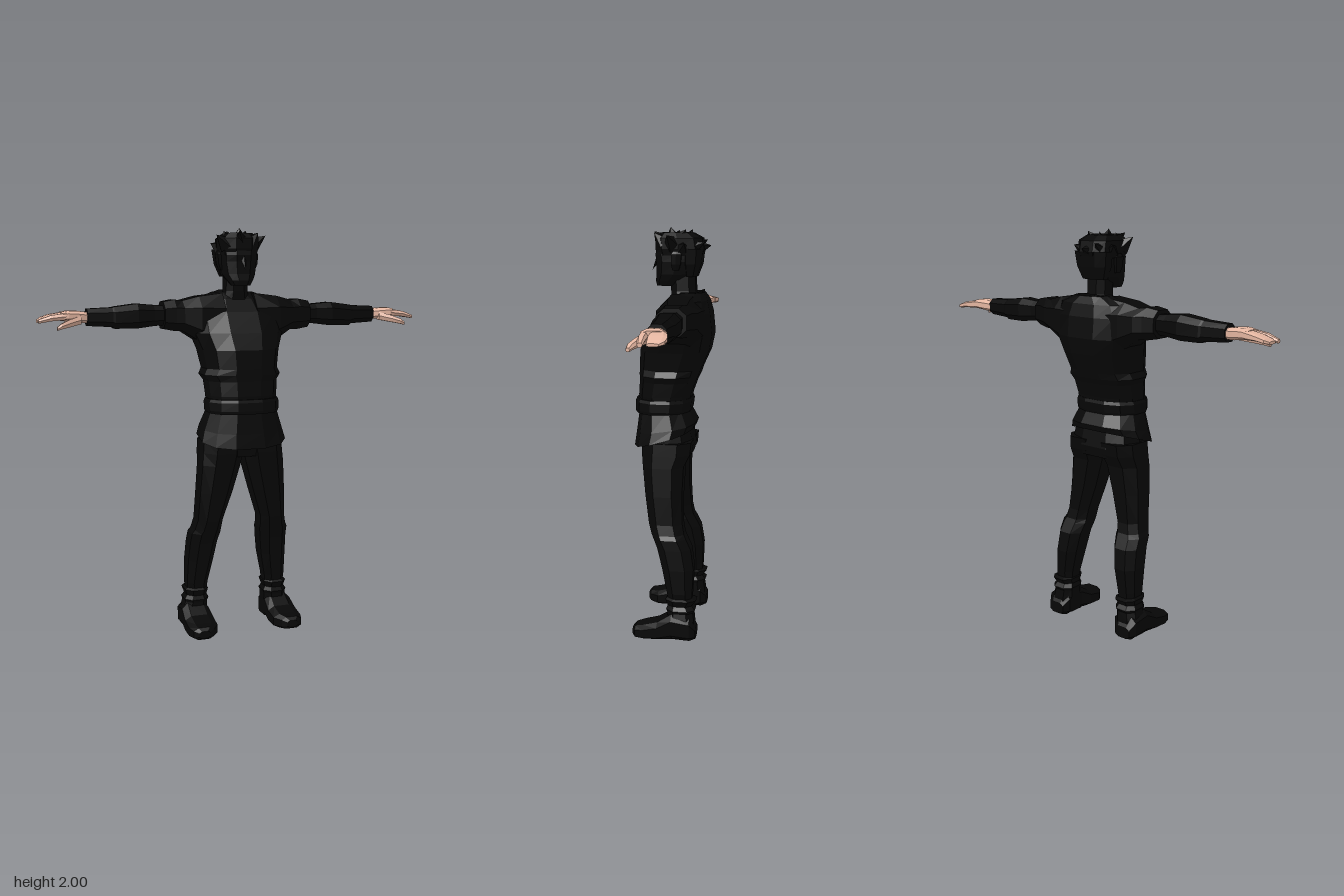
import * as THREE from 'three';

const AXES = { x: [0, 1, 2], y: [1, 2, 0], z: [2, 0, 1] };

// Flat-faced loft along an axis. Ring: [t, a0, a1, b0, b1, slope], where (a, b) are the
// next two axes in cyclic order and slope tilts the ring along a.
function loft(axis, rings, sides = 10, power = 0.8) {
  const [it, ia, ib] = AXES[axis], pos = [], idx = [];
  const put = (t, a, b) => { const p = []; p[it] = t; p[ia] = a; p[ib] = b; pos.push(...p); };
  const bend = (v) => Math.sign(v) * Math.abs(v) ** power;
  for (const [t, a0, a1, b0, b1, slope = 0] of rings) {
    for (let i = 0; i < sides; i++) {
      const q = ((i + 0.5) / sides) * Math.PI * 2;
      const k = Math.cos(Math.PI / sides);
      const da = bend(Math.min(1, Math.max(-1, Math.cos(q) / k))) * (a1 - a0) / 2;
      const db = bend(Math.min(1, Math.max(-1, Math.sin(q) / (sides % 4 ? 1 : k)))) * (b1 - b0) / 2;
      put(t + slope * da, (a0 + a1) / 2 + da, (b0 + b1) / 2 + db);
    }
  }
  const n = rings.length, first = rings[0], last = rings[n - 1];
  put(first[0], (first[1] + first[2]) / 2, (first[3] + first[4]) / 2);
  put(last[0], (last[1] + last[2]) / 2, (last[3] + last[4]) / 2);
  for (let i = 0; i < sides; i++) {
    const j = (i + 1) % sides, top = (n - 1) * sides;
    for (let r = 0; r < n - 1; r++) {
      const a = r * sides + i, b = r * sides + j;
      idx.push(a, b, b + sides, a, b + sides, a + sides);
    }
    idx.push(n * sides, j, i, n * sides + 1, top + i, top + j);
  }
  const g = new THREE.BufferGeometry();
  g.setAttribute('position', new THREE.Float32BufferAttribute(pos, 3));
  g.setIndex(idx);
  return flat(g);
}

function flat(g) {
  const f = g.index ? g.toNonIndexed() : g;
  f.computeVertexNormals();
  return f;
}

// Mirror across x = 0, keeping faces outward
function mirror(g) {
  const m = g.clone(), p = m.attributes.position;
  for (let i = 0; i < p.count; i += 3) {
    const v = [0, 2, 1].map((k) => new THREE.Vector3().fromBufferAttribute(g.attributes.position, i + k));
    v.forEach((w, k) => p.setXYZ(i + k, -w.x, w.y, w.z));
  }
  m.computeVertexNormals();
  return m;
}

// Cone from a base point to a tip
function spike(base, tip, radius, sides = 5) {
  const a = new THREE.Vector3(...base), d = new THREE.Vector3(...tip).sub(a), len = d.length();
  const g = new THREE.ConeGeometry(radius, len, sides).translate(0, len / 2, 0);
  g.applyQuaternion(new THREE.Quaternion().setFromUnitVectors(new THREE.Vector3(0, 1, 0), d.normalize()));
  return flat(g.translate(...base));
}

export function createModel() {
  const black = new THREE.MeshStandardMaterial({ color: 0x070707 });
  black.name = 'black cloth';
  const skin = new THREE.MeshStandardMaterial({ color: 0xe3b5a0 });
  skin.name = 'skin';
  const model = new THREE.Group();
  model.name = 'figure';
  const add = (name, geometry, material = black) => {
    const m = new THREE.Mesh(geometry, material);
    m.name = name;
    model.add(m);
  };
  const pair = (name, geometry, material) => {
    add(name + 'Left', geometry, material);
    add(name + 'Right', mirror(geometry), material);
  };

  // Tunic body, leaning back towards the shoulders
  add('tunic', loft('y', [
    [1.12, -0.075, 0.165, -0.165, 0.165],
    [1.2, -0.085, 0.17, -0.17, 0.17],
    [1.27, -0.11, 0.165, -0.175, 0.175],
    [1.3, -0.125, 0.165, -0.195, 0.195],
    [1.33, -0.135, 0.165, -0.18, 0.18],
    [1.42, -0.175, 0.16, -0.195, 0.195],
    [1.5, -0.19, 0.125, -0.225, 0.225],
    [1.6, -0.18, 0.065, -0.225, 0.225],
    [1.66, -0.165, 0.01, -0.19, 0.19],
    [1.695, -0.145, -0.03, -0.1, 0.1],
  ], 12));
  // Flared skirt, hem lower at the front
  add('tunicSkirt', loft('y', [
    [0.99, -0.1, 0.19, -0.215, 0.215, -0.3],
    [1.04, -0.11, 0.18, -0.2, 0.2, -0.15],
    [1.14, -0.07, 0.165, -0.165, 0.165],
  ], 12));
  add('belt', loft('y', [
    [1.115, -0.08, 0.185, -0.172, 0.172],
    [1.13, -0.085, 0.187, -0.178, 0.178],
    [1.17, -0.09, 0.185, -0.178, 0.178],
    [1.185, -0.085, 0.18, -0.172, 0.172],
  ], 12));
  add('collar', loft('y', [
    [1.6, -0.13, 0.05, -0.1, 0.1, -0.4],
    [1.68, -0.14, 0.01, -0.1, 0.1, -0.35],
  ], 8));

  // Arms
  pair('sleeve', loft('x', [
    [0.08, 1.4, 1.69, -0.165, 0.06],
    [0.2, 1.46, 1.675, -0.155, 0.06],
    [0.28, 1.51, 1.655, -0.145, 0.04],
    [0.32, 1.51, 1.66, -0.125, 0.035],
    [0.375, 1.52, 1.65, -0.11, 0.03],
  ], 8));
  pair('arm', loft('x', [
    [0.35, 1.54, 1.63, -0.09, 0.01],
    [0.42, 1.535, 1.635, -0.095, 0.01],
    [0.5, 1.525, 1.642, -0.105, 0.02],
    [0.61, 1.525, 1.628, -0.095, 0.012],
    [0.62, 1.533, 1.625, -0.09, 0.01],
    [0.74, 1.54, 1.62, -0.08, 0.002],
  ], 8));

  // Hands
  pair('palm', loft('x', [
    [0.73, 1.553, 1.603, -0.07, -0.012],
    [0.78, 1.555, 1.61, -0.085, 0.008],
    [0.83, 1.562, 1.612, -0.095, 0.015],
    [0.86, 1.565, 1.606, -0.1, 0.008],
  ], 8), skin);
  pair('fingers', loft('x', [
    [0.85, 1.566, 1.605, -0.1, -0.03],
    [0.91, 1.567, 1.595, -0.112, -0.032],
    [0.95, 1.56, 1.582, -0.107, -0.035],
    [0.967, 1.557, 1.57, -0.085, -0.036],
  ], 8, 0.6), skin);
  pair('indexFinger', loft('x', [
    [0.84, 1.57, 1.602, -0.025, 0.015],
    [0.91, 1.565, 1.592, -0.024, 0.012],
    [0.967, 1.555, 1.572, -0.022, 0.002],
  ], 6), skin);
  pair('thumb', loft('x', [
    [0.77, 1.55, 1.59, -0.03, 0.015],
    [0.83, 1.538, 1.572, 0.008, 0.045],
    [0.87, 1.53, 1.555, 0.03, 0.064],
    [0.89, 1.524, 1.54, 0.045, 0.063],
  ], 6), skin);

  // Trousers
  add('trouserHips', loft('y', [
    [0.9, -0.09, 0.13, -0.19, 0.19],
    [0.95, -0.1, 0.14, -0.2, 0.2],
    [1.06, -0.08, 0.15, -0.18, 0.18],
  ], 10));
  pair('trouserLeg', loft('y', [
    [0.18, -0.115, -0.005, 0.16, 0.255],
    [0.24, -0.12, 0.005, 0.155, 0.262],
    [0.36, -0.125, 0.03, 0.13, 0.26],
    [0.46, -0.11, 0.055, 0.115, 0.255],
    [0.51, -0.085, 0.075, 0.105, 0.252],
    [0.53, -0.075, 0.085, 0.105, 0.24],
    [0.58, -0.065, 0.1, 0.1, 0.228],
    [0.72, -0.06, 0.12, 0.055, 0.22],
    [0.86, -0.065, 0.135, 0.015, 0.21],
    [0.92, -0.095, 0.14, 0.002, 0.205],
    [0.98, -0.1, 0.14, 0, 0.2],
  ], 8));

  // Boots with creased shafts
  pair('bootShaft', loft('y', [
    [0.02, -0.135, 0.01, 0.155, 0.285],
    [0.1, -0.13, 0.0, 0.155, 0.28],
    [0.14, -0.125, 0.0, 0.155, 0.27],
    [0.155, -0.135, 0.008, 0.15, 0.275],
    [0.175, -0.118, 0.0, 0.16, 0.262],
    [0.205, -0.14, 0.012, 0.152, 0.272],
    [0.215, -0.11, 0.0, 0.165, 0.255],
  ], 8));
  pair('bootFoot', loft('z', [
    [-0.14, 0.18, 0.27, 0.01, 0.07],
    [-0.11, 0.155, 0.29, 0, 0.12],
    [-0.02, 0.155, 0.292, 0.006, 0.135],
    [0.05, 0.148, 0.297, 0, 0.09],
    [0.12, 0.15, 0.297, 0, 0.072],
    [0.16, 0.18, 0.285, 0.004, 0.065],
    [0.175, 0.205, 0.26, 0.015, 0.05],
  ], 8, 0.65));

  // Neck and head
  add('neck', loft('y', [
    [1.64, -0.115, 0.01, -0.07, 0.07],
    [1.7, -0.105, 0.015, -0.055, 0.055],
    [1.8, -0.1, 0.02, -0.055, 0.055],
  ], 8));
  add('head', loft('y', [
    [1.725, 0.0, 0.085, -0.045, 0.045],
    [1.75, -0.04, 0.09, -0.062, 0.062],
    [1.78, -0.09, 0.085, -0.08, 0.08],
    [1.84, -0.12, 0.085, -0.09, 0.09],
    [1.87, -0.125, 0.09, -0.09, 0.09],
    [1.93, -0.12, 0.08, -0.09, 0.09],
  ], 10));
  add('nose', spike([0, 1.86, 0.075], [0, 1.8, 0.11], 0.016, 4));
  pair('ear', loft('y', [
    [1.8, -0.03, 0.0, 0.075, 0.092],
    [1.83, -0.04, 0.005, 0.08, 0.105],
    [1.875, -0.045, 0.005, 0.08, 0.11],
    [1.89, -0.035, -0.005, 0.085, 0.1],
  ], 6));

  // Hair: cap, nape and tousled tufts
  add('hairCap', loft('y', [
    [1.87, -0.135, 0.08, -0.095, 0.095],
    [1.9, -0.145, 0.09, -0.1, 0.1],
    [1.95, -0.135, 0.09, -0.1, 0.1],
    [1.975, -0.09, 0.065, -0.07, 0.07],
  ], 10));
  add('hairNape', loft('y', [
    [1.77, -0.11, -0.05, -0.065, 0.065],
    [1.83, -0.132, -0.04, -0.088, 0.088],
    [1.9, -0.14, -0.04, -0.098, 0.098],
  ], 8));
  const tufts = [
    [[-0.07, 1.92, 0.03], [-0.125, 1.965, 0.05]], [[0.07, 1.92, 0.0], [0.135, 1.965, 0.02]],
    [[0.07, 1.9, -0.04], [0.118, 1.925, -0.06]], [[-0.07, 1.9, -0.05], [-0.115, 1.93, -0.08]],
    [[0, 1.93, 0.05], [-0.03, 1.98, 0.105]], [[0.05, 1.93, 0.05], [0.07, 1.975, 0.09]],
    [[0, 1.94, 0.01], [0, 2.0, 0.02]], [[-0.05, 1.94, 0], [-0.07, 1.985, -0.01]],
    [[0.04, 1.94, -0.03], [0.06, 1.99, -0.06]], [[-0.02, 1.93, -0.06], [-0.03, 1.99, -0.08]],
    [[0, 1.9, -0.1], [0, 1.915, -0.175]], [[0.05, 1.9, -0.08], [0.07, 1.93, -0.15]],
    [[-0.05, 1.9, -0.08], [-0.06, 1.94, -0.15]],
  ];
  tufts.forEach(([base, tip]) => add('hairTuft', spike(base, tip, 0.045)));

  return model;
}
